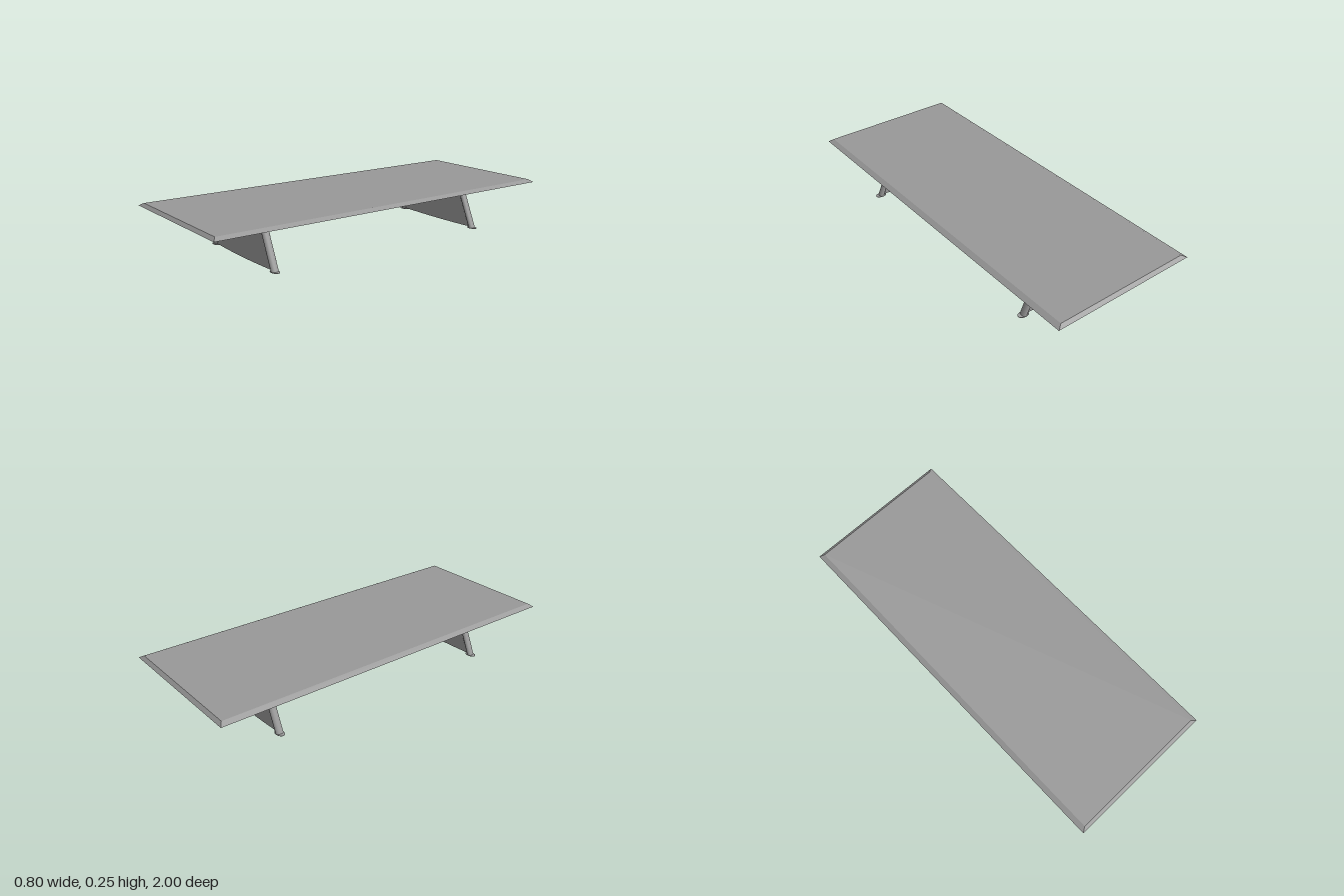
import * as THREE from 'three';
import { ConvexGeometry } from 'three/addons/geometries/ConvexGeometry.js';
import { toCreasedNormals } from 'three/addons/utils/BufferGeometryUtils.js';

const UNDERSIDE = 0.234;
const V = (x, y, z) => new THREE.Vector3(x, y, z);
const material = new THREE.MeshStandardMaterial({ color: 0x999999 });

function part(name, geometry, parent) {
  const mesh = new THREE.Mesh(geometry, material);
  mesh.name = name;
  parent.add(mesh);
}

const hull = (points) => toCreasedNormals(new ConvexGeometry(points), 0.5);

// Rail hung under the top: straight sides, rounded belly, depth set at each station along z
function railGeometry(stations, halfWidth) {
  const section = [[-1, 0], [-1, 0.72], [-0.6, 0.92], [0, 1], [0.6, 0.92], [1, 0.72], [1, 0]];
  const points = [];
  for (const [z, depth] of stations) {
    for (const [u, v] of section) points.push(V(u * halfWidth, UNDERSIDE - v * depth, z));
  }
  return hull(points);
}

// Slab with edges chamfered up and inward to a sharp lower rim
function topGeometry() {
  const points = [];
  for (const sx of [-1, 1]) {
    for (const sz of [-1, 1]) {
      points.push(V(0.402 * sx, UNDERSIDE, sz), V(0.376 * sx, 0.248, 0.982 * sz));
    }
  }
  return toCreasedNormals(new ConvexGeometry(points), 0.1);
}

// Trapezoid panel, thin and straight at the top, bowed outward along its foot
function panelGeometry() {
  const points = [];
  for (const s of [-1, 1]) {
    for (let i = -6; i <= 6; i++) {
      const k = i / 6;
      points.push(V(k * 0.278, 0.005, s * (0.005 + 0.01 * (1 - k * k))));
    }
    for (const side of [-1, 1]) points.push(V(side * 0.18, UNDERSIDE, s * 0.005));
  }
  return hull(points);
}

// Oval post leaning inward as it rises, ends kept level
function legGeometry(side) {
  const geometry = new THREE.CylinderGeometry(1, 1, 0.221, 32);
  geometry.scale(0.0138, 1, 0.02);
  geometry.translate(0, 0.1115, 0);
  const shear = new THREE.Matrix4().set(
    1, -0.45 * side, 0, 0.285 * side,
    0, 1, 0, 0,
    0, 0, 1, 0,
    0, 0, 0, 1);
  return geometry.applyMatrix4(shear);
}

function createTrestle(name) {
  const trestle = new THREE.Group();
  trestle.name = name;
  part('panel', panelGeometry(), trestle);
  for (const side of [-1, 1]) {
    const label = side > 0 ? 'left' : 'right';
    part(label + 'Leg', legGeometry(side), trestle);

    // Thin oval foot plate
    const foot = new THREE.CylinderGeometry(1, 1, 0.002, 32);
    foot.scale(0.031, 1, 0.021);
    foot.translate(0.285 * side, 0.001, 0);
    part(label + 'Foot', foot, trestle);

    // Bracket arm over the leg, thinning toward the outer edge
    const arm = railGeometry([[0.132, 0.016], [0.295, 0.004]], 0.01);
    part(label + 'Bracket', arm.rotateY(side * Math.PI / 2), trestle);
  }
  return trestle;
}

export function createModel() {
  const table = new THREE.Group();
  table.name = 'table';
  part('tableTop', topGeometry(), table);

  // Central beam with both ends tapering into the underside
  part('beam', railGeometry([[-0.92, 0.003], [-0.65, 0.018], [0.65, 0.018], [0.92, 0.003]], 0.016), table);

  for (const end of [-1, 1]) {
    const trestle = createTrestle(end > 0 ? 'frontTrestle' : 'backTrestle');
    trestle.position.z = 0.64 * end;
    table.add(trestle);
  }
  return table;
}
